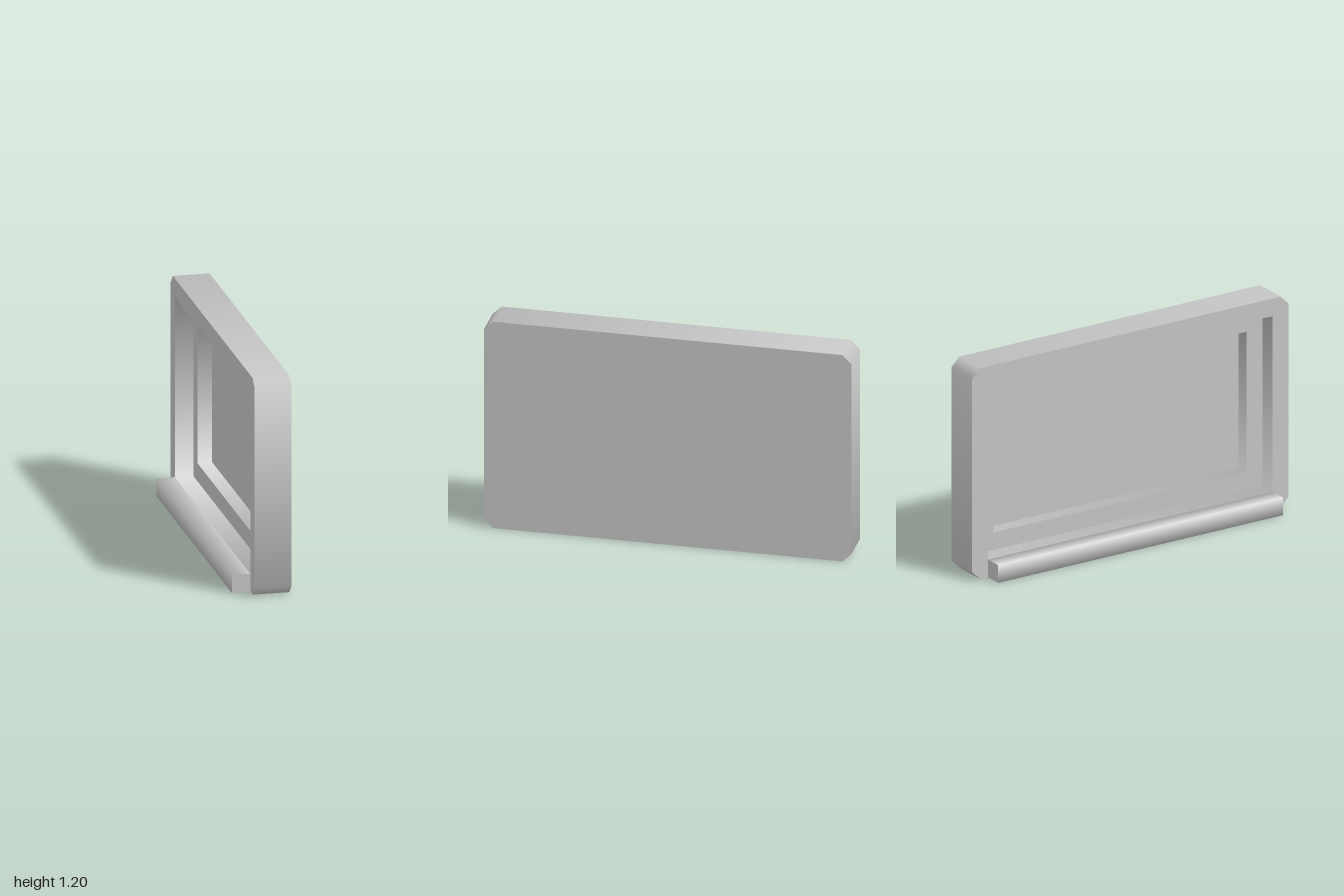
import * as THREE from 'three';
import { mergeGeometries } from 'three/addons/utils/BufferGeometryUtils.js';

// Counterclockwise outline in (z, y), corners optionally cut by c
function outline(z0, z1, y0, y1, c = 0) {
  const pts = c
    ? [[z0 + c, y0], [z1 - c, y0], [z1, y0 + c], [z1, y1 - c], [z1 - c, y1], [z0 + c, y1], [z0, y1 - c], [z0, y0 + c]]
    : [[z0, y0], [z1, y0], [z1, y1], [z0, y1]];
  return pts.map(([z, y]) => new THREE.Vector2(z, y));
}

// Smoothly shaded wall running along x around an outline; side -1 faces inward
function wall(pts, x0, x1, side = 1) {
  const n = pts.length, pos = [], nor = [], idx = [];
  const edgeNormal = (i) => {
    const d = pts[(i + 1) % n].clone().sub(pts[i % n]).normalize();
    return new THREE.Vector2(d.y, -d.x);
  };
  for (let i = 0; i < n; i++) {
    const m = edgeNormal(i).add(edgeNormal(i + n - 1)).normalize().multiplyScalar(side);
    for (const x of [x0, x1]) {
      pos.push(x, pts[i].y, pts[i].x);
      nor.push(0, m.y, m.x);
    }
    const a = 2 * i, b = a + 1, c = (a + 2) % (2 * n), d = c + 1;
    if (side > 0) idx.push(a, b, c, b, d, c);
    else idx.push(a, c, b, b, c, d);
  }
  const g = new THREE.BufferGeometry();
  g.setAttribute('position', new THREE.Float32BufferAttribute(pos, 3));
  g.setAttribute('normal', new THREE.Float32BufferAttribute(nor, 3));
  g.setIndex(idx);
  return g;
}

// Flat face at x, looking along dir (+1 or -1), with an optional hole
function face(pts, x, dir, hole) {
  const shape = new THREE.Shape(pts);
  if (hole) shape.holes.push(new THREE.Path(hole));
  const g = new THREE.ShapeGeometry(shape);
  g.deleteAttribute('uv');
  return g.rotateY(dir * Math.PI / 2).translate(x, 0, 0);
}

export function createModel() {
  const group = new THREE.Group();
  const grey = new THREE.MeshStandardMaterial({ color: 0xc4c4c4 });
  grey.name = 'light grey';
  const add = (name, ...geos) => {
    const mesh = new THREE.Mesh(mergeGeometries(geos), grey);
    mesh.name = name;
    group.add(mesh);
  };

  const rim = outline(-1, 1, 0, 1.2, 0.05);
  const opening = outline(-0.9, 0.9, 0.1, 1.1);
  const inner = outline(-0.8, 0.8, 0.2, 1.0);

  // Outer frame with cut corners
  add('frame', wall(rim, -0.05, 0.15), face(rim, -0.05, -1, opening));
  // Stepped recess
  add('recess', wall(opening, -0.05, 0.05, -1), face(opening, 0.05, -1, inner), wall(inner, 0.05, 0.13, -1));
  // Closed panel behind the recess
  add('panel', face(inner, 0.13, -1), face(rim, 0.15, 1));

  // Ledge along the foot of the open side
  const bar = outline(-0.15, -0.05, 0, 0.1);
  const ledge = mergeGeometries([wall(bar, -0.9, 0.9), face(bar, 0.9, -1).translate(-1.8, 0, 0),
    face(outline(0.05, 0.15, 0, 0.1), 0.9, 1)]);
  ledge.rotateY(Math.PI / 2);
  add('ledge', ledge);

  return group;
}
